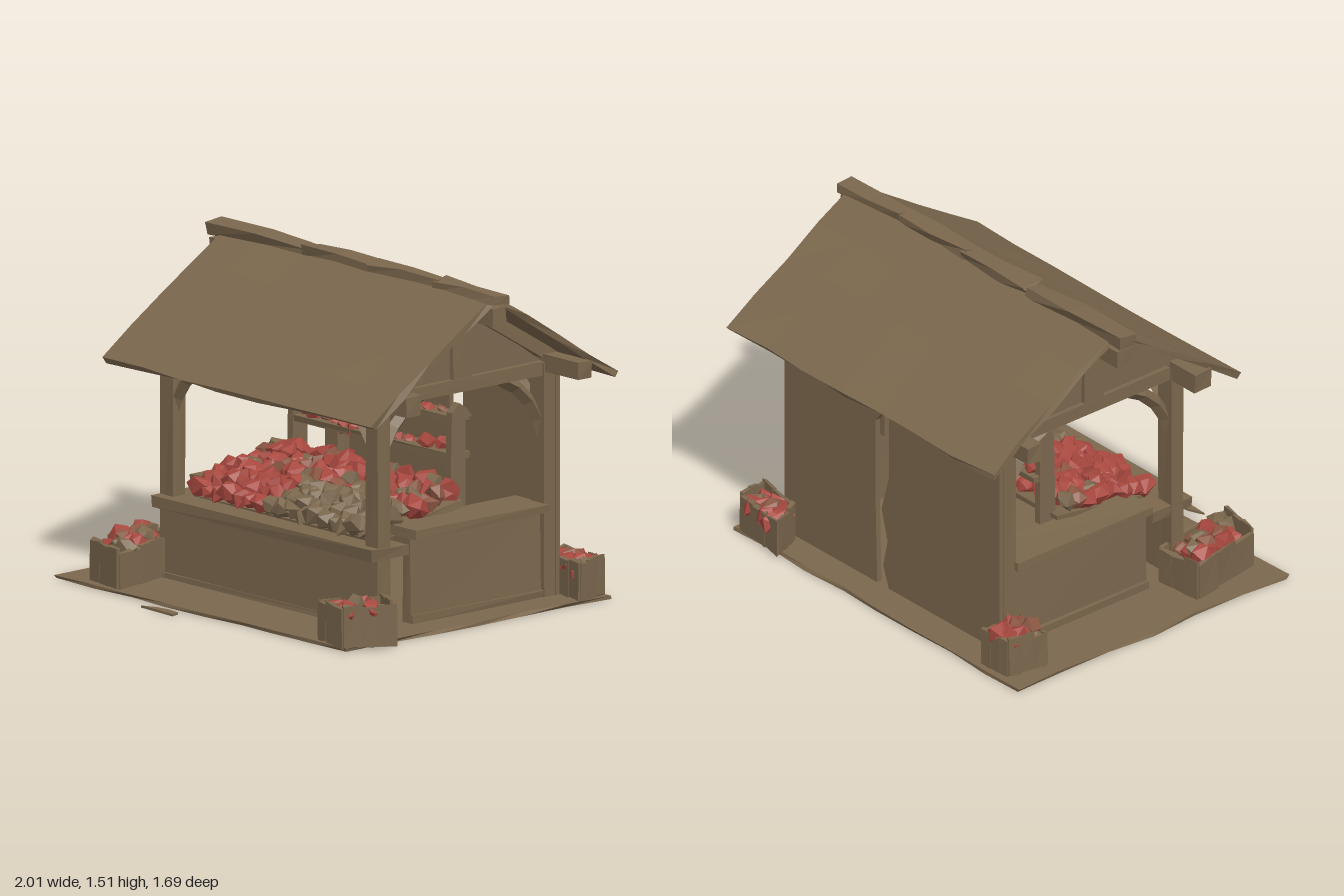
import * as THREE from 'three';
import { mergeGeometries } from 'three/addons/utils/BufferGeometryUtils.js';

const flat = (name, color, side = THREE.FrontSide) => {
  const m = new THREE.MeshStandardMaterial({ color, flatShading: true, side });
  m.name = name;
  return m;
};

// Repeatable noise in -1..1
const noise = (a, b, c, s) => {
  const v = Math.sin(a * 127.1 + b * 311.7 + c * 74.7 + s * 53.3) * 43758.5453;
  return (v - Math.floor(v)) * 2 - 1;
};

// Shift vertices; equal positions move together so no seams open
function rough(geo, jx, jy, jz, seed = 0) {
  const p = geo.attributes.position;
  for (let i = 0; i < p.count; i++) {
    const [x, y, z] = [p.getX(i), p.getY(i), p.getZ(i)].map(v => Math.round(v * 1000) / 1000);
    p.setXYZ(i, x + jx * noise(x, y, z, seed + 1), y + jy * noise(x, y, z, seed + 2), z + jz * noise(x, y, z, seed + 3));
  }
  geo.computeVertexNormals();
  return geo;
}

export function createModel() {
  const model = new THREE.Group();
  model.name = 'marketStall';
  const wood = flat('wood', 0x7b674d, THREE.DoubleSide);
  const red = flat('redFruit', 0xa8483f);
  const rust = flat('rustFruit', 0x8c5844);
  let seed = 0;

  const add = (name, geo, mat = wood, parent = model) => {
    const m = new THREE.Mesh(geo, mat);
    m.name = name;
    parent.add(m);
    return m;
  };
  // Box given by its limits on each axis
  const box = (name, x0, x1, y0, y1, z0, z1, j = 0.004, parent = model) => {
    const g = rough(new THREE.BoxGeometry(x1 - x0, y1 - y0, z1 - z0), j, j, j, seed++);
    return add(name, g.translate((x0 + x1) / 2, (y0 + y1) / 2, (z0 + z1) / 2), wood, parent);
  };
  // Rough bar from a to b
  const bar = (name, a, b, w, h, segs = [1, 1, 1], j = [0.004, 0.004, 0.004]) => {
    const A = new THREE.Vector3(...a), B = new THREE.Vector3(...b);
    const m = add(name, rough(new THREE.BoxGeometry(w, h, A.distanceTo(B), ...segs), ...j, seed++));
    m.position.copy(A).add(B).multiplyScalar(0.5);
    m.lookAt(B);
    return m;
  };
  const slab = (name, pts, depth) => {
    const shape = new THREE.Shape(pts.map(p => new THREE.Vector2(...p)));
    return add(name, new THREE.ExtrudeGeometry(shape, { depth, bevelEnabled: false }));
  };

  // Fruit lumps gathered by colour, merged at the end
  const lumps = new Map([[wood, []], [red, []], [rust, []]]);
  const lump = (x, y, z, r, mat) => {
    const g = rough(new THREE.IcosahedronGeometry(r, 0), r * 0.3, r * 0.3, r * 0.3, seed++);
    lumps.get(mat).push(g.translate(x, y, z));
  };
  const pickFruit = n => (n > -0.2 ? red : n > -0.65 ? rust : wood);

  // Ground platform and a loose chip in front of it
  const base = rough(new THREE.BoxGeometry(1.9, 0.016, 1.55, 8, 1, 6), 0.015, 0, 0.012);
  add('platform', base.translate(-0.045, 0.008, -0.04));
  slab('groundChip', [[-0.34, -0.83], [-0.12, -0.84], [-0.13, -0.8], [-0.2, -0.79], [-0.27, -0.8]], 0.01)
    .rotation.x = -Math.PI / 2;

  // Posts, tie beams, gables and curved braces
  for (const [side, px] of [[-1, -0.65], [1, 0.7]]) {
    for (const [dir, pz] of [[-1, 0.365], [1, -0.61]]) {
      box(dir < 0 ? 'frontPost' : 'backPost', px - 0.043, px + 0.043, 0.01, 1.07, pz - 0.036, pz + 0.036);
      const brace = (name, c) => {
        const curve = new THREE.QuadraticBezierCurve3(...c.map(p => new THREE.Vector3(...p)));
        add(name, new THREE.TubeGeometry(curve, 4, 0.032, 4));
      };
      brace('sideBrace', [[px, 0.72, pz], [px, 0.95, pz - dir * -0.06], [px, 1.03, pz + dir * 0.26]]);
      brace('lengthBrace', [[px, 0.74, pz], [px - side * 0.05, 0.93, pz], [px - side * 0.25, 1.03, pz]]);
    }
    box('tieBeam', px - 0.035, px + 0.035, 1.015, 1.075, -0.66, 0.42);
    bar('frontRafter', [px, 1.08, 0.4], [px, 1.4, -0.12], 0.07, 0.06);
    bar('backRafter', [px, 1.08, -0.66], [px, 1.4, -0.12], 0.07, 0.06);
    box('kingPost', px - 0.03, px + 0.03, 1.06, 1.4, -0.16, -0.05);
    const gable = slab('gablePanel', [[-0.4, 1.04], [0.64, 1.04], [0.12, 1.4]], 0.02);
    gable.rotation.y = Math.PI / 2;
    gable.position.x = px - 0.01;

    // Side counter with its overhanging top
    box('sidePanel', px - 0.02, px + 0.03, 0.015, 0.41, -0.57, 0.2);
    box('sidePanelRail', px + side * 0.03 - 0.015, px + side * 0.03 + 0.015, 0.015, 0.05, -0.57, 0.2);
    const inner = px - side * 0.15, outer = px + side * 0.07;
    box('sideCounterTop', Math.min(inner, outer), Math.max(inner, outer), 0.4, 0.44, -0.58, 0.2);
  }

  // Beams along the length
  bar('frontPurlin', [-0.85, 1.06, 0.38], [0.95, 1.06, 0.38], 0.09, 0.09);
  bar('backPurlin', [-0.87, 1.07, -0.62], [0.96, 1.07, -0.62], 0.08, 0.08);
  bar('ridgeBeam', [-0.9, 1.39, -0.12], [0.96, 1.39, -0.12], 0.08, 0.08);

  // Roof slopes with uneven edges, and the split ridge cap
  const roofJ = [0.016, 0.005, 0.012];
  bar('frontRoof', [0.05, 1.455, -0.1], [0.05, 0.995, 0.61], 1.76, 0.028, [7, 1, 4], roofJ);
  bar('backRoof', [0.05, 1.455, -0.14], [0.05, 1.015, -0.83], 1.76, 0.028, [7, 1, 4], roofJ);
  [-0.9, -0.28, 0.14, 0.58, 0.97].forEach((x, i, a) => {
    if (i) bar('ridgeCap', [a[i - 1] - 0.01, 1.474, -0.12], [x, 1.47, -0.12], 0.085, 0.045, [1, 1, 2], [0.012, 0.012, 0.01]);
  });

  // Back wall in two parts with a ragged gap
  const wallL = [[-0.69, 0.01], [0.05, 0.01], [0.09, 0.12], [0.06, 0.25], [0.1, 0.4], [0.05, 0.58], [0.05, 0.88], [0.04, 1.1], [-0.69, 1.1]];
  const wallR = [[0.13, 0.01], [0.75, 0.01], [0.75, 1.1], [0.05, 1.1], [0.05, 0.98], [0.11, 0.93], [0.1, 0.88], [0.14, 0.83], [0.14, 0.4]];
  slab('backWallRight', wallL, 0.025).position.z = -0.665;
  slab('backWallLeft', wallR, 0.025).position.z = -0.665;

  // Front counter: panel, lip and the sloping tray
  box('frontPanel', -0.69, 0.745, 0.015, 0.345, 0.345, 0.41);
  box('frontPanelRail', -0.67, 0.72, 0.015, 0.04, 0.4, 0.42);
  box('frontCounterLip', -0.69, 0.75, 0.335, 0.385, 0.23, 0.45, 0.006);
  bar('fruitTray', [0.02, 0.375, 0.32], [0.02, 0.47, -0.22], 1.16, 0.03);

  // Produce heaped on the tray: brown at the front left, red elsewhere
  for (let row = 0; row < 8; row++) {
    for (let i = 0; i < 17; i++) {
      const n = noise(row, i, 3, 1), k = noise(i, row, 7, 2);
      const x = -0.54 + i * 0.069 + k * 0.015, z = 0.3 - row * 0.067 + n * 0.012;
      const mat = row < 4 && x > -0.1 ? wood : row < 4 && n < -0.8 ? rust : row < 4 ? red : pickFruit(k);
      lump(x, 0.425 + row * 0.016 + n * 0.018, z, 0.054 + k * 0.008, mat);
    }
  }

  // Display rack with two shelves
  for (const x of [-0.5, 0.54]) {
    const end = slab('rackEnd', [[0.19, 0.44], [0.28, 0.44], [0.28, 0.84], [0.32, 0.84], [0.29, 0.88], [0.245, 0.91], [0.2, 0.87]], 0.035);
    end.rotation.y = Math.PI / 2;
    end.position.x = x - 0.018;
  }
  for (const y of [0.67, 0.84]) {
    box('rackShelf', -0.51, 0.55, y - 0.013, y + 0.013, -0.31, -0.2);
    for (let i = 0; i < 15; i++) {
      const n = noise(i, y, 5, 4), end = y < 0.7 && (i < 2 || i > 11);
      lump(-0.46 + i * 0.068, y + (end ? 0.035 : 0.01), -0.25 + n * 0.02, end ? 0.038 : 0.03 + n * 0.006, end ? red : pickFruit(n));
    }
  }

  // Crates built from jagged planks around a footprint of four corners (x, z)
  const crate = (name, corners, fill) => {
    const cx = corners.reduce((s, c) => s + c[0], 0) / 4, cz = corners.reduce((s, c) => s + c[1], 0) / 4;
    const g = new THREE.Group();
    g.name = name;
    model.add(g);
    corners.forEach(([x0, z0], i) => {
      const [x1, z1] = corners[(i + 1) % 4], len = Math.hypot(x1 - x0, z1 - z0);
      for (let k = 0; k < 3; k++) {
        const t = (k + 0.5) / 3, h = 0.175 + 0.015 * noise(i, k, cx, 6);
        const geo = rough(new THREE.BoxGeometry(len / 3 + 0.004, h, 0.018), 0, 0.008, 0.003, seed++);
        const plank = add('cratePlank', geo, wood, g);
        plank.position.set(x0 + (x1 - x0) * t, 0.015 + h / 2, z0 + (z1 - z0) * t);
        plank.rotation.y = -Math.atan2(z1 - z0, x1 - x0);
      }
    });
    // Fruit on a grid between the corners
    const [a, b, c, d] = corners;
    for (let i = 0; i < 4; i++) for (let j = 0; j < 4; j++) {
      const u = 0.2 + i * 0.2, v = 0.2 + j * 0.2, n = noise(i, j, cx, 8);
      const at = q => (a[q] * (1 - u) + b[q] * u) * (1 - v) + (d[q] * (1 - u) + c[q] * u) * v;
      const mound = 0.03 * (1 - Math.hypot(u - 0.5, v - 0.5) * 2);
      lump(at(0), fill + mound + n * 0.015, at(1), 0.047 + n * 0.008, pickFruit(noise(j, i, cz, 9)));
    }
  };
  crate('frontRightCrate', [[-0.61, 0.72], [-0.83, 0.68], [-0.91, 0.3], [-0.68, 0.28]], 0.165);
  crate('frontLeftCrate', [[0.69, 0.7], [0.88, 0.73], [0.99, 0.52], [0.8, 0.43]], 0.145);
  crate('backLeftCrate', [[0.6, -0.83], [0.88, -0.8], [0.91, -0.64], [0.66, -0.69]], 0.13);
  crate('backRightCrate', [[-0.91, -0.59], [-0.88, -0.78], [-0.72, -0.79], [-0.74, -0.58]], 0.165);

  for (const [mat, geos] of lumps) add(mat === wood ? 'brownProduce' : mat.name, mergeGeometries(geos), mat);
  return model;
}
